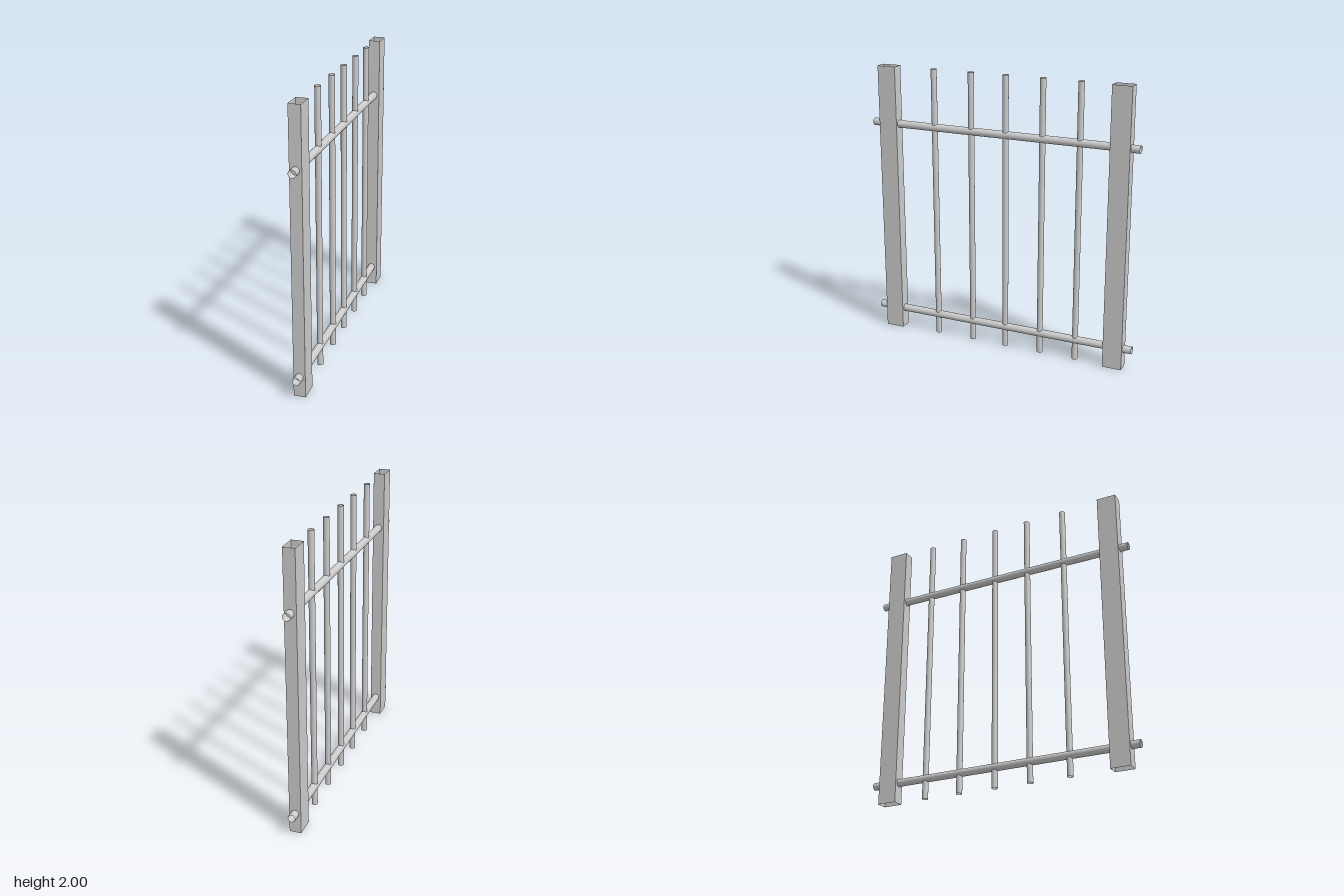
import * as THREE from 'three';

export function createModel() {
  const model = new THREE.Group();
  model.name = 'fencePanel';
  const smooth = new THREE.MeshStandardMaterial({ color: 0xcccccc, side: THREE.DoubleSide });
  const flat = new THREE.MeshStandardMaterial({ color: 0xcccccc, side: THREE.DoubleSide, flatShading: true });

  function add(name, geometry, material, y, z) {
    const mesh = new THREE.Mesh(geometry, material);
    mesh.name = name;
    mesh.position.set(0, y, z);
    model.add(mesh);
  }

  // Square hollow posts, open at both ends
  const post = new THREE.CylinderGeometry(Math.SQRT1_2, Math.SQRT1_2, 2, 4, 1, true)
    .rotateY(Math.PI / 4)
    .scale(0.082, 1, 0.138);
  add('frontPost', post, flat, 1, 0.869);
  add('backPost', post, flat, 1, -0.869);

  // Horizontal open pipes running through the posts
  const rail = new THREE.CylinderGeometry(0.027, 0.027, 2, 24, 1, true).rotateX(Math.PI / 2);
  add('lowerRail', rail, smooth, 0.147, 0);
  add('upperRail', rail, smooth, 1.583, 0);

  // Upright open pipes passing through the rails
  const bar = new THREE.CylinderGeometry(0.021, 0.021, 2, 24, 1, true);
  [0.511, 0.224, -0.038, -0.31, -0.58].forEach((z, i) => add(`bar${i + 1}`, bar, smooth, 1, z));

  return model;
}
